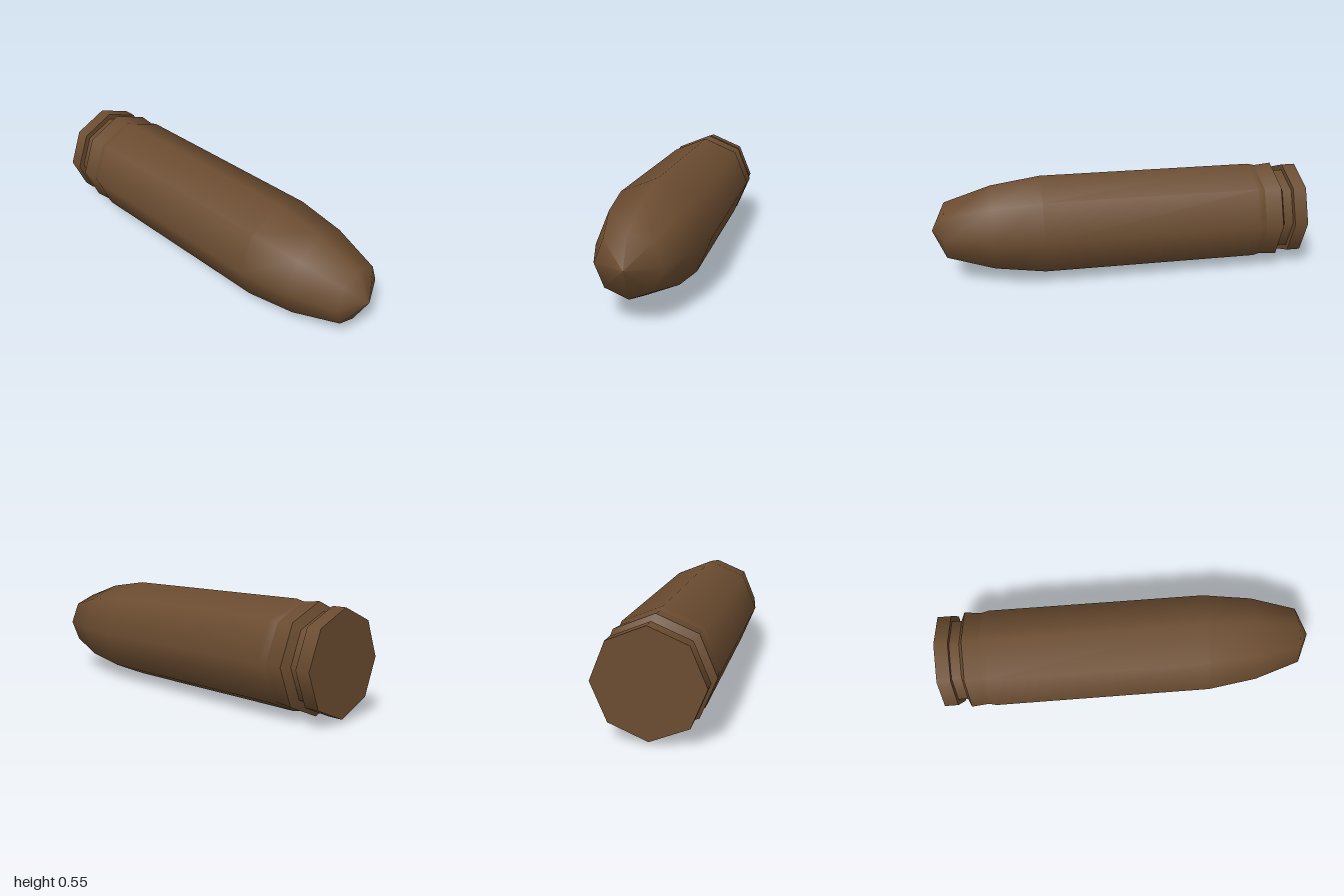
import * as THREE from 'three';

const SIDES = 8;
const AXIS_Y = 0.275;

// Smooth eight-sided band around the x axis; profile is [x, radius] from tail to tip.
function band(name, material, profile) {
  const points = profile.map(([x, r]) => new THREE.Vector2(r, x));
  const geometry = new THREE.LatheGeometry(points, SIDES);
  geometry.rotateZ(-Math.PI / 2);
  const mesh = new THREE.Mesh(geometry, material);
  mesh.name = name;
  return mesh;
}

export function createModel() {
  const brass = new THREE.MeshStandardMaterial({ color: 0x6b4c30 });
  brass.name = 'dark brass';

  const model = new THREE.Group();
  model.name = 'cartridge';

  // Separate bands keep the machined edges of the tail crisp
  const parts = [
    ['basePlate', [[-1, 0], [-1, 0.258]]],
    ['rim', [[-1, 0.258], [-0.928, 0.258]]],
    ['rimFrontFace', [[-0.928, 0.258], [-0.928, 0.227]]],
    ['extractorGroove', [[-0.928, 0.227], [-0.877, 0.227]]],
    ['grooveBevel', [[-0.877, 0.227], [-0.855, 0.273]]],
    ['collar', [[-0.855, 0.273], [-0.765, 0.264]]],
    // Casing runs smoothly into the rounded nose
    ['casingAndNose', [[-0.765, 0.264], [-0.725, 0.274], [0.42, 0.274],
      [0.68, 0.236], [0.925, 0.157], [1, 0]]],
  ];
  for (const [name, profile] of parts) model.add(band(name, brass, profile));

  model.position.y = AXIS_Y;
  const root = new THREE.Group();
  root.add(model);
  return root;
}
